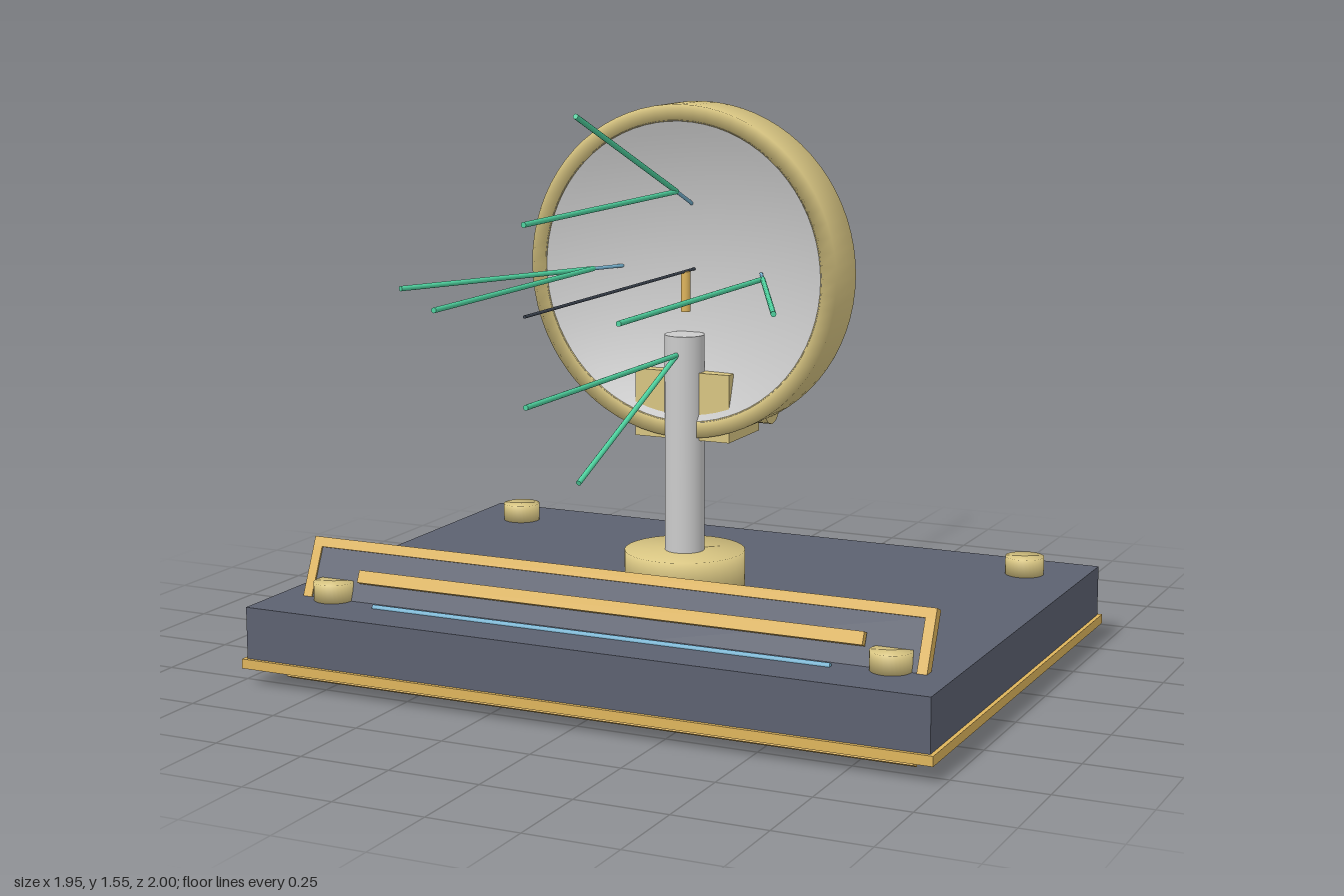
import * as THREE from 'three';

const mat = (color, side = THREE.FrontSide) => new THREE.MeshStandardMaterial({ color, side });
const slate = mat(0x5c6170);
const brass = mat(0xd8c582);
const gold = mat(0xdfb55c);
const green = mat(0x4fd3a0);
const blue = mat(0x78b4d2);
const dark = mat(0x3c4450);
const grey = mat(0xcccccc);
const greyOpen = mat(0xcccccc, THREE.DoubleSide);

const AXIS_Y = 1.085; // height of the dish axis

export function createModel() {
  const model = new THREE.Group();

  const add = (name, geometry, material, x = 0, y = 0, z = 0, parent = model) => {
    const mesh = new THREE.Mesh(geometry, material);
    mesh.name = name;
    mesh.position.set(x, y, z);
    parent.add(mesh);
    return mesh;
  };
  const box = (name, material, w, h, d, x, y, z, parent) =>
    add(name, new THREE.BoxGeometry(w, h, d), material, x, y, z, parent);
  const lathe = (pairs, segments = 48) =>
    new THREE.LatheGeometry(pairs.map(([r, y]) => new THREE.Vector2(r, y)), segments);
  // Solid disc with soft shading, standing on its base
  const puck = (name, r, h, x, y, z) =>
    add(name, lathe([[0, 0], [r, 0], [r, h], [0, h]], 32), brass, x, y, z);
  // Straight round bar between two points
  const rod = (name, material, r, a, b) => {
    const from = new THREE.Vector3(...a);
    const dir = new THREE.Vector3(...b).sub(from);
    const mesh = add(name, new THREE.CylinderGeometry(r, r, dir.length(), 12), material);
    mesh.position.copy(from).addScaledVector(dir, 0.5);
    mesh.quaternion.setFromUnitVectors(new THREE.Vector3(0, 1, 0), dir.normalize());
    return mesh;
  };

  // Base plinth with a gold trim around its foot
  box('plinth', slate, 1.932, 0.168, 1.385, 0, 0.13, 0.104);
  box('plinthTrim', gold, 1.954, 0.026, 1.406, 0, 0.06, 0.104);

  // Corner knobs and small panel feet
  for (const x of [-0.8, 0.8]) {
    for (const z of [-0.424, 0.625]) puck('cornerKnob', 0.054, 0.05, x, 0.214, z);
  }
  for (const x of [-0.62, 0.62]) puck('panelFoot', 0.02, 0.013, x, 0.214, 0.55);

  // Tilted front panel: frame, plate and bar
  const panel = new THREE.Group();
  panel.name = 'frontPanel';
  panel.position.set(0, 0.183, 0.628);
  panel.rotation.x = -0.42;
  model.add(panel);
  const W = 1.79, H = 0.386, T = 0.03, F = 0.027;
  for (const s of [-1, 1]) {
    box('frameRail', gold, W, F, T, 0, s * (H - F) / 2, 0, panel);
    box('frameStile', gold, F, H - 2 * F, T, s * (W - F) / 2, 0, 0, panel);
  }
  box('panelPlate', slate, W - 2 * F, H - 2 * F, 0.02, 0, 0, 0, panel);
  box('panelBar', gold, 1.45, 0.034, 0.02, 0, 0.095, 0.025, panel);
  rod('panelTube', blue, 0.008, [-0.655, 0.215, 0.66], [0.655, 0.215, 0.66]);

  // Pedestal and column
  puck('pedestal', 0.165, 0.106, 0, 0.214, 0.107);
  add('column', new THREE.CylinderGeometry(0.054, 0.054, 0.6, 40), grey, 0, 0.615, 0.107);

  // Mount housing with a side knob
  box('mountHousing', brass, 0.28, 0.185, 0.2, 0, 0.722, 0.025);
  rod('sideKnob', brass, 0.055, [0.13, 0.725, 0.017], [0.22, 0.725, 0.017]);

  // Rim ring and shallow dish, hollow towards the front
  const ring = add('dishRim',
    lathe([[0.405, 0], [0.45, 0], [0.45, 0.138], [0.405, 0.138], [0.405, 0]], 72),
    brass, 0, AXIS_Y, -0.005);
  ring.rotation.x = Math.PI / 2;
  const profile = [];
  for (let i = 0; i <= 14; i++) {
    const r = 0.408 * i / 14;
    profile.push([r, 0.045 + 0.53 * r * r]);
  }
  add('dish', lathe(profile, 72), greyOpen, 0, AXIS_Y, 0).rotation.x = Math.PI / 2;

  // Four sets of struts: focus to joint, straight rod and splayed rod
  for (const [ux, uy] of [[1, 0], [-1, 0], [0, 1], [0, -1]]) {
    const at = (rx, ry, z) => [ux * rx, AXIS_Y + uy * ry, z];
    const joint = at(0.25, 0.22, 0.155);
    rod('focusStrut', blue, 0.005, [0, AXIS_Y, -0.36], joint);
    rod('straightRod', green, 0.007, joint, at(0.25, 0.22, 1));
    rod('splayedRod', green, 0.007, joint, at(0.52, 0.458, 0.73 - 0.02 * Math.abs(ux)));
  }

  // Central axis rod with hanging feeds behind and in front of the dish
  rod('axisRod', dark, 0.004, [0, AXIS_Y, -1], [0, AXIS_Y, 1]);
  rod('rearFeed', gold, 0.015, [0, 0.952, -0.365], [0, AXIS_Y, -0.365]);
  rod('frontFeed', gold, 0.013, [0, 0.976, 0.1], [0, AXIS_Y, 0.1]);

  // Side probe with a sliding block and end cap
  rod('probeRod', gold, 0.004, [-0.33, AXIS_Y, 0.1], [-0.33, AXIS_Y, -0.37]);
  box('probeBlock', gold, 0.022, 0.042, 0.066, -0.33, 1.108, -0.13);
  rod('probeCap', gold, 0.016, [-0.33, AXIS_Y, -0.375], [-0.33, AXIS_Y, -0.367]);

  return model;
}
